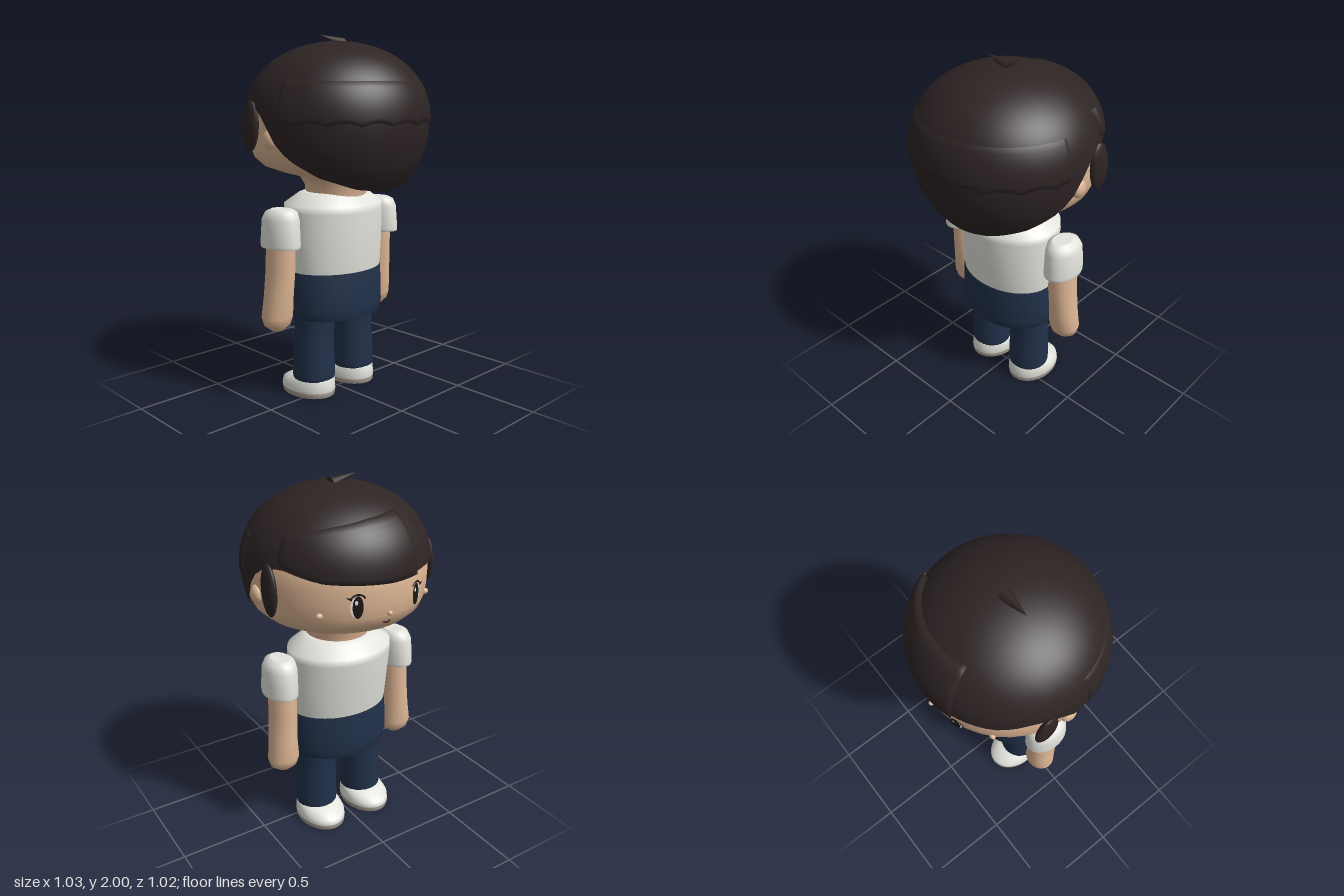
import * as THREE from 'three';
import { mergeVertices } from 'three/addons/utils/BufferGeometryUtils.js';

const material = (name, color, side = THREE.FrontSide) => {
  const m = new THREE.MeshStandardMaterial({ color, side });
  m.name = name;
  return m;
};

// Smooth surface from a rule: fn(column, row) -> [x, y, z]
function grid(cols, rows, fn) {
  const pos = [], idx = [];
  for (let r = 0; r <= rows; r++) {
    for (let c = 0; c <= cols; c++) pos.push(...fn(c, r));
  }
  for (let r = 0; r < rows; r++) {
    for (let c = 0; c < cols; c++) {
      const a = r * (cols + 1) + c, b = a + cols + 1;
      idx.push(a, a + 1, b, a + 1, b + 1, b);
    }
  }
  let g = new THREE.BufferGeometry();
  g.setAttribute('position', new THREE.Float32BufferAttribute(pos, 3));
  g.setIndex(idx);
  g = mergeVertices(g, 1e-5);
  g.computeVertexNormals();
  return g;
}

// Closed loft through elliptic rings [y, rx, rz, cx, cz], listed from top to bottom
function loft(rings, seg = 28) {
  const cap = (r, k) => [r[0], r[1] * k, r[2] * k, r[3], r[4]];
  const first = rings[0], last = rings[rings.length - 1];
  const all = [cap(first, 0), cap(first, 0.97), ...rings, cap(last, 0.97), cap(last, 0)];
  return grid(seg, all.length - 1, (c, r) => {
    const [y, rx, rz, cx = 0, cz = 0] = all[r];
    const a = ((c % seg) / seg) * Math.PI * 2;
    return [cx + rx * Math.sin(a), y, cz - rz * Math.cos(a)];
  });
}

// Linear lookup in a list of [key, value]
function lookup(table, k) {
  for (let i = 1; i < table.length; i++) {
    const [k0, v0] = table[i - 1], [k1, v1] = table[i];
    if (k <= k1) return v0 + ((v1 - v0) * (k - k0)) / (k1 - k0);
  }
  return table[table.length - 1][1];
}

// Hair radius at a height
function hairRadius(y) {
  const d = y - 1.55;
  const k = d > 0 ? Math.pow(Math.min(d / 0.42, 1), 2.3) : Math.pow(d / 0.53, 2);
  return 0.505 * Math.sqrt(Math.max(0, 1 - k));
}

// Raised lock of hair between two edge curves; its rim tucks into the hair below.
// Angles are in degrees from the face direction towards +x.
function hairLock(a0, a1, top, bottom, lift, cols, rows) {
  return grid(cols + 2, rows + 2, (c, r) => {
    const u = THREE.MathUtils.clamp((c - 1) / cols, 0, 1);
    const v = THREE.MathUtils.clamp((r - 1) / rows, 0, 1);
    const deg = a0 + (a1 - a0) * u, a = THREE.MathUtils.degToRad(deg);
    const rim = c === 0 || r === 0 || c === cols + 2 || r === rows + 2;
    const y = top(deg) + (bottom(deg) - top(deg)) * v;
    const R = hairRadius(y) + (rim ? -0.015 : lift(v));
    return [R * Math.sin(a), y + (rim ? 0 : lift(v) * 0.5), -R * Math.cos(a)];
  });
}

export function createModel() {
  const root = new THREE.Group();
  root.name = 'figure';
  const skin = material('skin', 0xdfb795);
  const hair = material('darkHair', 0x2e2424, THREE.DoubleSide);
  const white = material('whiteCloth', 0xe4e4de);
  const navy = material('navyCloth', 0x213049);
  const sole = material('shoeSole', 0xa59a90);
  const ink = material('eyeDark', 0x1c1616, THREE.DoubleSide);
  const eyeWhite = material('eyeWhite', 0xf4f2ee, THREE.DoubleSide);
  const lip = material('mouthBrown', 0x44211f);

  const add = (name, geo, mat, parent = root) => {
    const m = new THREE.Mesh(geo, mat);
    m.name = name;
    parent.add(m);
    return m;
  };
  const blob = (name, mat, p, s) => {
    const m = add(name, new THREE.SphereGeometry(1, 20, 14), mat);
    m.position.set(...p);
    m.scale.set(...s);
    return m;
  };

  // Head and neck in one turned profile
  const profile = [[0.17, 1.1], [0.175, 1.19], [0.205, 1.24], [0.31, 1.268], [0.4, 1.3], [0.45, 1.345],
    [0.473, 1.4], [0.48, 1.47], [0.482, 1.54], [0.475, 1.62], [0.42, 1.74], [0.3, 1.85], [0, 1.92]];
  const head = add('head', new THREE.LatheGeometry(profile.map(p => new THREE.Vector2(...p)), 40), skin);
  head.position.z = -0.012;

  // Main hair shell: long at the nape, cut away over the ears, short at the brow
  const hemTable = [[0, 1.585], [45, 1.6], [65, 1.64], [79, 1.61], [85, 1.575], [90, 1.52], [97, 1.42],
    [105, 1.355], [123, 1.27], [150, 1.205], [180, 1.18]];
  const hem = deg => lookup(hemTable, Math.abs(deg));
  add('hairShell', grid(64, 22, (c, r) => {
    const deg = -180 + ((c % 64) * 360) / 64, a = THREE.MathUtils.degToRad(deg);
    const y = 1.97 + (hem(deg) - 1.97) * Math.pow(r / 22, 1.7);
    const R = hairRadius(y);
    return [R * Math.sin(a), y, -R * Math.cos(a)];
  }), hair);

  // Swept fringe with the parting on one side
  const fringeTop = [[-20, 1.87], [10, 1.855], [35, 1.83], [66, 1.785]];
  const fringeHem = [[-20, 1.575], [0, 1.57], [40, 1.59], [66, 1.66]];
  add('sweptFringe', hairLock(-19, 66, d => lookup(fringeTop, d), d => lookup(fringeHem, d),
    v => 0.022 - 0.014 * v, 20, 10), hair);

  // Scalloped upper layer at the back
  add('backLayer', hairLock(100, 260, () => 1.75,
    d => 1.525 + 0.018 * Math.abs(Math.cos((d * Math.PI) / 20)), v => 0.006 * v, 64, 8), hair);

  // Cowlick on the crown
  const tuft = add('cowlick', new THREE.ConeGeometry(0.034, 0.16, 12), hair);
  tuft.scale.z = 1.1;
  tuft.rotation.z = 1.33;
  tuft.position.set(-0.05, 1.978, 0);

  // Shirt and hips
  add('shirt', loft([[1.155, 0.19, 0.16, 0, -0.025], [1.145, 0.215, 0.18, 0, -0.03],
    [1.09, 0.3, 0.245, 0, -0.035], [1.05, 0.302, 0.25, 0, -0.035], [0.9, 0.3, 0.235, 0, -0.026],
    [0.72, 0.292, 0.218, 0, -0.02]], 36), white);
  add('hips', loft([[0.722, 0.295, 0.222, 0, -0.02], [0.6, 0.3, 0.224, 0, -0.02],
    [0.51, 0.302, 0.228, 0, -0.02], [0.46, 0.29, 0.22, 0, -0.02]], 36), navy);

  for (const s of [1, -1]) {
    const side = s > 0 ? 'left' : 'right';

    // Ear, sideburn and cheek
    blob(side + 'Ear', skin, [s * 0.478, 1.455, -0.005], [0.03, 0.05, 0.044]);
    blob(side + 'Sideburn', hair, [s * 0.485, 1.52, -0.155], [0.028, 0.135, 0.066]).rotation.x = 0.08;
    blob(side + 'Cheek', skin, [s * 0.325, 1.42, -0.36], [0.02, 0.016, 0.014]);

    // Sleeve and arm
    add(side + 'Sleeve', loft([[1.085, 0.05, 0.07, s * 0.375, -0.035], [1.07, 0.075, 0.1, s * 0.378, -0.037],
      [1.03, 0.088, 0.118, s * 0.382, -0.04], [0.95, 0.09, 0.125, s * 0.384, -0.04],
      [0.895, 0.091, 0.129, s * 0.385, -0.04], [0.88, 0.089, 0.127, s * 0.385, -0.04]]), white);
    add(side + 'Arm', loft([[0.95, 0.073, 0.09, s * 0.375, -0.048], [0.75, 0.076, 0.088, s * 0.378, -0.052],
      [0.6, 0.08, 0.084, s * 0.386, -0.06], [0.49, 0.09, 0.08, s * 0.391, -0.068],
      [0.445, 0.078, 0.066, s * 0.391, -0.068], [0.412, 0.036, 0.032, s * 0.391, -0.066]], 20), skin);

    // Trouser leg
    add(side + 'Leg', loft([[0.5, 0.118, 0.122, s * 0.152, -0.03], [0.4, 0.114, 0.114, s * 0.152, -0.03],
      [0.33, 0.114, 0.113, s * 0.155, -0.033], [0.2, 0.119, 0.119, s * 0.157, -0.031],
      [0.11, 0.121, 0.121, s * 0.157, -0.031], [0.095, 0.118, 0.118, s * 0.157, -0.031]], 24), navy);

    // Shoe
    add(side + 'ShoeUpper', loft([[0.105, 0.108, 0.112, s * 0.157, -0.028], [0.09, 0.121, 0.14, s * 0.157, -0.048],
      [0.06, 0.131, 0.17, s * 0.158, -0.074], [0.028, 0.132, 0.174, s * 0.158, -0.076]]), white);
    add(side + 'ShoeSole', loft([[0.028, 0.134, 0.176, s * 0.158, -0.076],
      [0, 0.13, 0.172, s * 0.158, -0.076]]), sole);

    // Eye: white, iris, glint and lashes as thin plates lying on the face
    const eye = new THREE.Group();
    eye.name = side + 'Eye';
    const a = s * 0.365;
    eye.position.set(0.487 * Math.sin(a), 1.47, -0.012 - 0.487 * Math.cos(a));
    eye.rotation.y = Math.PI - a;
    root.add(eye);
    const disc = (name, mat, x, y, z, w, h) => {
      const m = add(name, new THREE.CircleGeometry(1, 24), mat, eye);
      m.position.set(x, y, z);
      m.scale.set(w, h, 1);
    };
    disc('eyeWhite', eyeWhite, -s * 0.012, 0, 0, 0.026, 0.05);
    disc('iris', ink, 0, 0, 0.002, 0.027, 0.058);
    disc('glint', eyeWhite, -0.008, 0.024, 0.004, 0.008, 0.012);
    const lash = add('upperLash', new THREE.RingGeometry(0.036, 0.045, 20, 1, 0.5, 2.1), ink, eye);
    lash.position.set(0, 0.025, 0.003);
    const flick = new THREE.Shape([[-0.03, 0.05], [-0.062, 0.052], [-0.032, 0.035]]
      .map(([x, y]) => new THREE.Vector2(s * x, y)));
    add('lashFlick', new THREE.ShapeGeometry(flick), ink, eye).position.z = 0.004;
  }

  // Nose and mouth
  blob('nose', skin, [0, 1.412, -0.49], [0.014, 0.013, 0.016]);
  blob('mouth', lip, [0, 1.362, -0.468], [0.024, 0.009, 0.008]);

  return root;
}
